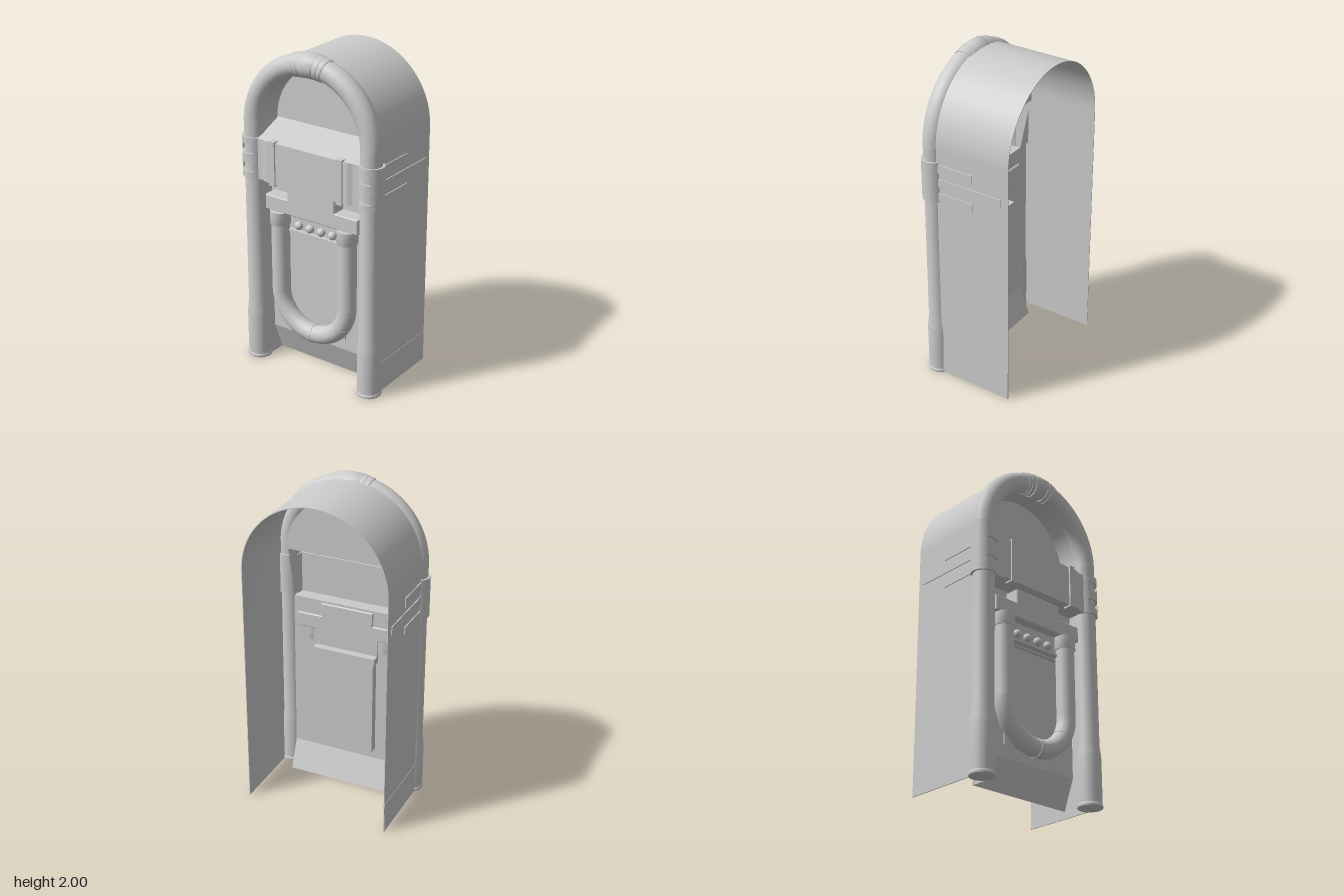
import * as THREE from 'three';
import { mergeVertices, toCreasedNormals } from 'three/addons/utils/BufferGeometryUtils.js';

const ARCH_Y = 1.52, ARCH_R = 0.407, TUBE_Z = 0.222;
const grey = new THREE.MeshStandardMaterial({ color: 0xcccccc });
const greyThin = new THREE.MeshStandardMaterial({ color: 0xcccccc, side: THREE.DoubleSide });

function add(parent, name, geometry, x = 0, y = 0, z = 0, material = grey) {
  const mesh = new THREE.Mesh(geometry, material);
  mesh.name = name;
  mesh.position.set(x, y, z);
  parent.add(mesh);
  return mesh;
}

// Box given by its limits
function box(parent, name, x0, x1, y0, y1, z0, z1) {
  return add(parent, name, new THREE.BoxGeometry(x1 - x0, y1 - y0, z1 - z0),
    (x0 + x1) / 2, (y0 + y1) / 2, (z0 + z1) / 2);
}

function smooth(geometry, crease = 0.6) {
  geometry.deleteAttribute('uv');
  geometry.deleteAttribute('normal');
  return toCreasedNormals(mergeVertices(geometry), crease);
}

const vectors = (pairs) => pairs.map(([a, b]) => new THREE.Vector2(a, b));
const lathe = (profile, ...arc) => new THREE.LatheGeometry(vectors(profile), ...arc);

// Turned profile of [radius, angle] bent round an arc; fan widens it outwards
function bent(profile, arcRadius, fan = 0, mid = 0) {
  const geometry = lathe(profile, 28);
  const p = geometry.attributes.position;
  for (let i = 0; i < p.count; i++) {
    const a = mid + p.getY(i) * (1 + fan * p.getX(i)), r = arcRadius + p.getX(i);
    p.setXY(i, -r * Math.sin(a), r * Math.cos(a));
  }
  return smooth(geometry);
}

function arcProfile(radius, half, steps) {
  const profile = [];
  for (let i = 0; i <= steps; i++) profile.push([radius, -half + 2 * half * i / steps]);
  return profile;
}

// Thin arched band, open below, running from z0 to z1
function archBand(outer, inner, base, z0, z1) {
  const s = new THREE.Shape();
  s.moveTo(outer, base);
  s.lineTo(outer, ARCH_Y);
  s.absarc(0, ARCH_Y, outer, 0, Math.PI, false);
  s.lineTo(-outer, base);
  s.lineTo(-inner, base);
  s.lineTo(-inner, ARCH_Y);
  s.absarc(0, ARCH_Y, inner, Math.PI, 0, true);
  s.lineTo(inner, base);
  const geometry = new THREE.ExtrudeGeometry(s, { depth: z1 - z0, bevelEnabled: false, curveSegments: 40 });
  geometry.translate(0, 0, z0);
  return smooth(geometry);
}

function buildCabinet(g) {
  add(g, 'cabinetShell', archBand(0.45, 0.446, 0, -0.3, 0.2));
  add(g, 'archRecess', archBand(0.36, 0.352, ARCH_Y, 0.08, 0.22));
  add(g, 'archBackWall', new THREE.CircleGeometry(0.36, 40, 0, Math.PI), 0, ARCH_Y, 0.08, greyThin);

  // Front sheet folded along a [y, z] profile: slope, fascia, face, kick plate
  const fold = [[1.52, 0.08], [1.44, 0.27], [1.19, 0.27], [1.19, 0.15], [0.18, 0.15], [0, 0.08]];
  const sheet = new THREE.PlaneGeometry(0.7, 1, 1, fold.length - 1);
  const p = sheet.attributes.position;
  for (let i = 0; i < p.count; i++) {
    const [y, z] = fold[Math.floor(i / 2)];
    p.setY(i, y);
    p.setZ(i, z);
  }
  add(g, 'frontSheet', smooth(sheet, 0.1), 0, 0, 0, greyThin);

  for (const s of [-1, 1]) {
    // Side wall between the sheet and the post
    const jamb = new THREE.ShapeGeometry(new THREE.Shape(vectors(
      [[-0.225, 0], [-0.08, 0], [-0.15, 0.18], [-0.15, 1.19], [-0.08, 1.52], [-0.225, 1.52]])));
    jamb.rotateY(Math.PI / 2);
    add(g, 'jamb', jamb, s * 0.347, 0, 0, greyThin);
    // Three speed-line trims and the plinth strip
    for (const [y0, y1, z0] of [[1.375, 1.43, -0.065], [1.29, 1.34, -0.255], [1.2, 1.25, -0.065]]) {
      box(g, 'sideTrim', s * 0.451 - 0.005, s * 0.451 + 0.005, y0, y1, z0, 0.17);
    }
    box(g, 'plinthStrip', s * 0.449 - 0.003, s * 0.449 + 0.003, 0, 0.19, -0.298, 0.18);
  }
}

function buildFrame(g) {
  const post = [[0, 0], [0.073, 0], [0.075, 0.006], [0.073, 0.016], [0.069, 0.022], [0.071, 0.1],
    [0.071, 0.29], [0.069, 0.32], [0.063, 0.37], [0.0625, ARCH_Y]];
  const w = 0.53;
  for (const s of [-1, 1]) {
    add(g, 'post', smooth(lathe(post, 32)), s * ARCH_R, 0, TUBE_Z);
    // Clamp round the post, with two windows at its front
    const ring = (y0, y1, start, length) => add(g, 'clamp',
      smooth(lathe([[0.06, y0], [0.074, y0], [0.074, y1], [0.06, y1]], 32, start, length)),
      s * 0.409, 0, TUBE_Z, greyThin);
    for (const [y0, y1] of [[1.19, 1.23], [1.285, 1.345], [1.4, 1.44]]) ring(y0, y1, 0, Math.PI * 2);
    for (const [y0, y1] of [[1.23, 1.285], [1.345, 1.4]]) ring(y0, y1, w, Math.PI * 2 - 2 * w);
  }
  const arch = add(g, 'archTube', bent(arcProfile(0.0625, Math.PI / 2, 48), ARCH_R), 0, ARCH_Y, TUBE_Z);

  // Fanned crown at the top of the arch
  const crown = (r, half, mid) => bent([[0.055, -half], [r - 0.003, -half], [r, -half + 0.012],
    [r, 0], [r, half - 0.012], [r - 0.003, half], [0.055, half]], ARCH_R, 2.5, mid);
  add(g, 'crownCentre', crown(0.073, 0.125, 0), 0, ARCH_Y, TUBE_Z);
  for (const s of [-1, 1]) {
    add(g, 'crownBand', crown(0.071, 0.04, s * 0.165), 0, ARCH_Y, TUBE_Z);
    add(g, 'crownBand', crown(0.069, 0.032, s * 0.237), 0, ARCH_Y, TUBE_Z);
  }
  return arch;
}

function buildFascia(g) {
  // Plan outline with a valley beside each clamp
  const plan = vectors([[-0.38, -0.23], [-0.38, -0.262], [-0.335, -0.262], [-0.285, -0.281],
    [0.285, -0.281], [0.335, -0.262], [0.38, -0.262], [0.38, -0.23]]);
  const geometry = new THREE.ExtrudeGeometry(new THREE.Shape(plan), { depth: 0.25, bevelEnabled: false });
  geometry.rotateX(-Math.PI / 2);
  // Plan y is negated by the turn, which brings the outline to +z
  add(g, 'fascia', geometry, 0, 1.19, 0);
  for (const s of [-1, 1]) box(g, 'strap', s * 0.235 - 0.02, s * 0.235 + 0.02, 1.18, 1.45, 0.235, 0.291);
}

function buildFront(g) {
  // Stepped block below the fascia
  const step = new THREE.Shape(vectors([[-0.322, 1.004], [0.322, 1.004], [0.322, 1.086], [0.162, 1.086],
    [0.162, 1.172], [-0.162, 1.172], [-0.162, 1.086], [-0.322, 1.086]]));
  add(g, 'steppedBlock', new THREE.ExtrudeGeometry(step,
    { depth: 0.09, bevelThickness: 0.005, bevelSize: 0.005, bevelSegments: 1 }), 0, 0, 0.145);

  // U-shaped tube with collars and rings
  const R = 0.24, y = 0.5, z = 0.21;
  const bow = add(g, 'loopBend', bent(arcProfile(0.055, Math.PI / 2, 36), R), 0, y, z);
  bow.rotation.z = Math.PI;
  for (const a of [-1.02, 0, 1.02]) {
    const ring = add(g, 'loopRing', bent([[0.05, -0.025], [0.058, -0.025], [0.058, 0.025], [0.05, 0.025]], R, 0, a), 0, y, z);
    ring.rotation.z = Math.PI;
  }
  for (const s of [-1, 1]) {
    add(g, 'loopLeg', smooth(lathe([[0.055, y], [0.055, 1]], 28)), s * R, 0, z);
    add(g, 'loopCollar', smooth(lathe([[0.05, 0.92], [0.06, 0.92], [0.062, 0.925], [0.062, 1.002], [0, 1.002]], 28)),
      s * R, 0, z);
  }

  // Selector strip, ledges and the box behind them
  box(g, 'selectorStrip', -0.2, 0.2, 0.895, 1.005, 0.14, 0.18);
  for (const x of [-0.12, -0.04, 0.04, 0.12]) {
    add(g, 'selectorKnob', new THREE.SphereGeometry(0.026, 20, 14), x, 0.925, 0.19);
  }
  box(g, 'ledge', -0.2, 0.2, 0.876, 0.89, 0.14, 0.2);
  box(g, 'ledge', -0.2, 0.2, 0.855, 0.864, 0.14, 0.18);
  box(g, 'rearBox', -0.19, 0.19, 0.25, 0.86, 0.1, 0.158);
  box(g, 'rearBoxLid', -0.2, 0.2, 0.86, 0.9, 0.095, 0.152);
}

export function createModel() {
  const model = new THREE.Group();
  model.name = 'archedMusicCabinet';
  for (const [name, build] of [['cabinet', buildCabinet], ['tubeFrame', buildFrame],
    ['fasciaBand', buildFascia], ['frontDetails', buildFront]]) {
    const part = new THREE.Group();
    part.name = name;
    build(part);
    model.add(part);
  }
  return model;
}
